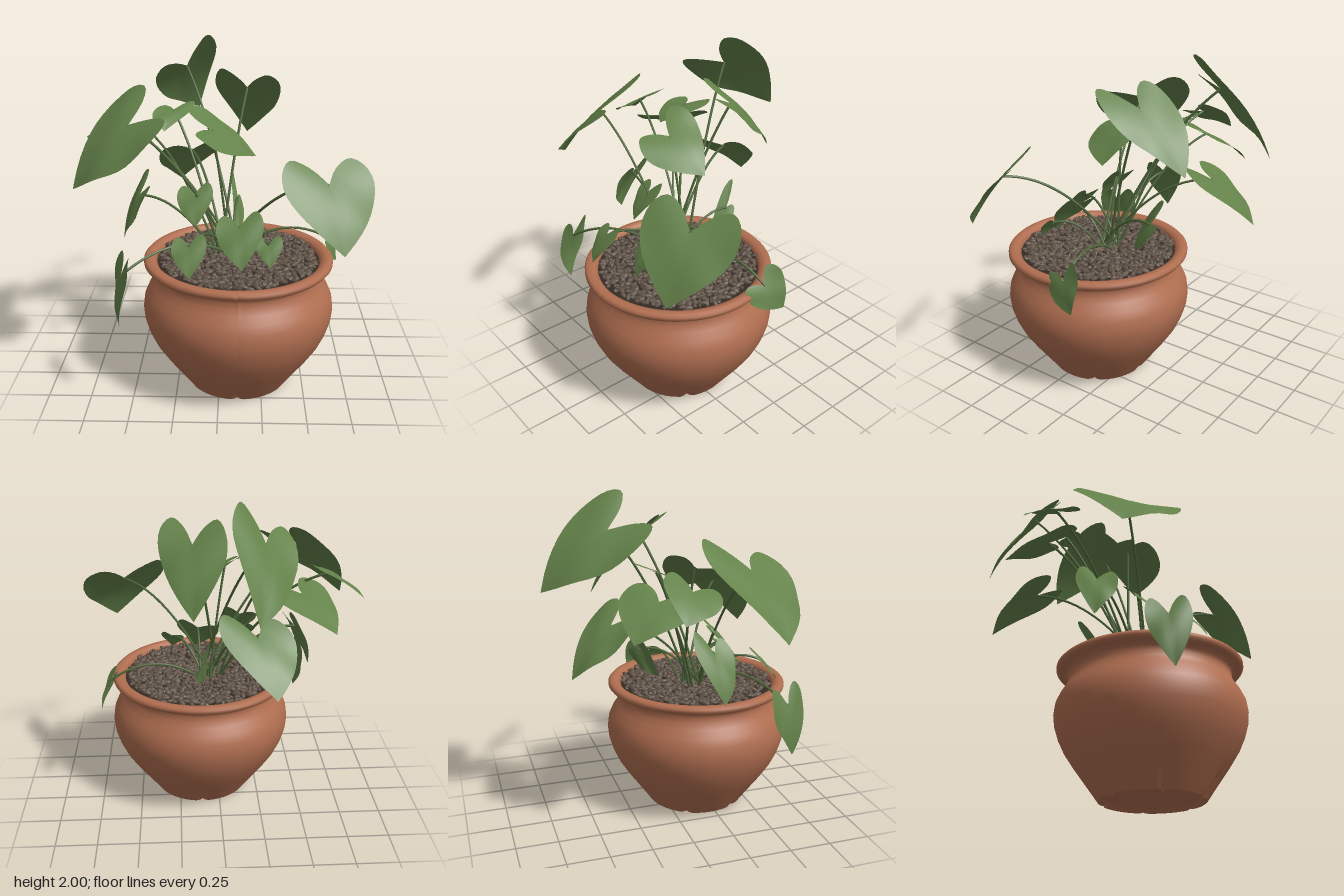
import * as THREE from 'three';
import { mergeGeometries } from 'three/addons/utils/BufferGeometryUtils.js';

const mat = (name, color, side = THREE.FrontSide) => {
  const m = new THREE.MeshStandardMaterial({ color, side });
  m.name = name;
  return m;
};
const V = (p) => new THREE.Vector3(...p);

// Small seeded random
function seeded(seed) {
  return () => {
    seed = (seed * 16807) % 2147483647;
    return seed / 2147483647;
  };
}

// Half outline of a heart-shaped blade: lobes end at v = 0, tip at v = 1
const NOTCH = 0.27;
const outline = new THREE.SplineCurve([
  [0, NOTCH], [0.35, 0.08], [0.8, -0.02], [1.12, 0.1], [1.2, 0.32], [0.98, 0.56], [0.5, 0.81], [0, 1],
].map(([u, v]) => new THREE.Vector2(u, v)));

// Blade stretched between its tip and the ends of its two lobes
function bladeSurface(tip, lobeA, lobeB) {
  const mid = lobeA.clone().add(lobeB).multiplyScalar(0.5);
  const half = lobeA.clone().sub(mid);
  const axis = tip.clone().sub(mid);
  const len = axis.length();
  const normal = half.clone().cross(axis).normalize();
  if (normal.y < 0) normal.negate();
  return (u, v) => {
    const lift = 0.08 * Math.sin(Math.PI * v) - 0.05 * u * u * v
      + 0.025 * Math.abs(u) + 0.02 * u * Math.sin(7 * v + 2 * u);
    return mid.clone().addScaledVector(half, u).addScaledVector(axis, v)
      .addScaledVector(normal, lift * len);
  };
}

function bladeGeometry(at) {
  const rows = 20, cols = 5, pos = [], index = [], w = cols * 2 + 1;
  for (let i = 0; i <= rows; i++) {
    const a = i / rows, edge = outline.getPoint(a);
    const rib = NOTCH + (1 - NOTCH) * Math.pow(a, 1.3);
    for (let j = -cols; j <= cols; j++) {
      const k = Math.abs(j) / cols;
      const p = at((j / cols) * edge.x, rib + (edge.y - rib) * k);
      pos.push(p.x, p.y, p.z);
      if (i < rows && j < cols) {
        const n = i * w + j + cols;
        index.push(n, n + 1, n + w, n + 1, n + w + 1, n + w);
      }
    }
  }
  const g = new THREE.BufferGeometry();
  g.setAttribute('position', new THREE.Float32BufferAttribute(pos, 3));
  g.setIndex(index);
  g.computeVertexNormals();
  return g;
}

// Grown leaves: tip, end of one lobe, end of the other lobe
const GROWN = [
  [[-0.16, 1.47, -0.77], [-0.06, 1.99, -0.31], [-0.35, 1.79, -0.18]],
  [[0.16, 1.38, -0.43], [-0.02, 1.82, -0.06], [0.29, 1.8, 0.1]],
  [[0.21, 1.36, 0.1], [-0.12, 1.5, 0.32], [-0.2, 1.62, 0.0]],
  [[-0.8, 1.25, 0.4], [-0.44, 1.75, 0.02], [-0.26, 1.61, 0.49]],
  [[-0.63, 1.27, -0.38], [-0.25, 1.5, -0.25], [-0.5, 1.46, 0.02]],
  [[-0.82, 1.4, -0.17], [-0.48, 1.6, -0.14], [-0.6, 1.5, 0.08]],
  [[-0.28, 1.0, -0.64], [0.02, 1.36, -0.31], [-0.32, 1.3, -0.25]],
  [[0.66, 1.0, 0.73], [0.34, 1.43, 0.5], [0.75, 1.4, 0.32]],
  [[-0.55, 0.5, 0.58], [-0.46, 0.92, 0.62], [-0.53, 0.9, 0.43]],
  [[-0.57, 0.86, 0.15], [-0.42, 1.25, 0.0], [-0.39, 1.18, 0.2]],
  [[0.72, 0.67, -0.06], [0.62, 0.82, 0.16], [0.62, 0.94, -0.02]],
  [[0.08, 0.84, -0.03], [0.06, 1.18, -0.24], [0.12, 0.98, -0.21]],
  [[-0.33, 1.48, 0.0], [-0.17, 1.6, -0.27], [-0.37, 1.58, -0.2]],
].map((leaf) => leaf.map(V));

// Young leaves hang towards the front: tip x, y, z and width between the lobes
const YOUNG = [
  [0.13, 0.83, 0.54, 0.22], [-0.13, 1.02, 0.36, 0.17], [-0.15, 0.83, 0.65, 0.16], [0.29, 0.84, 0.52, 0.12],
].map(([x, y, z, w]) => [
  V([x, y, z]),
  V([x + w * 0.45, y + w * 1.2, z - w]),
  V([x - w * 0.55, y + w, z - w * 1.1]),
]);

function createPot(material) {
  const profile = [
    [0, 0.02], [0.255, 0.02], [0.27, 0.015], [0.28, 0], [0.3, 0], [0.306, 0.004], [0.345, 0.06],
    [0.395, 0.13], [0.445, 0.2], [0.5, 0.285], [0.535, 0.36], [0.556, 0.43], [0.562, 0.49],
    [0.554, 0.55], [0.532, 0.6], [0.503, 0.645], [0.485, 0.68], [0.48, 0.71], [0.486, 0.735],
    [0.51, 0.75], [0.54, 0.757], [0.552, 0.772], [0.552, 0.788], [0.54, 0.8], [0.515, 0.803],
    [0.49, 0.795], [0.475, 0.775], [0.47, 0.72],
  ].map(([r, y]) => new THREE.Vector2(r, y));
  const g = new THREE.LatheGeometry(profile, 96);
  // Shallow wedge-shaped drainage grooves around the foot
  const p = g.attributes.position;
  for (let i = 0; i < p.count; i++) {
    const x = p.getX(i), y = p.getY(i), z = p.getZ(i);
    if (Math.hypot(x, z) < 0.295 || y > 0.135) continue;
    const step = Math.PI / 3, a = Math.atan2(x, z);
    const off = Math.abs(a - Math.round(a / step) * step);
    const k = 1 - 0.09 * Math.max(0, 1 - off / 0.09) * (1 - y / 0.14);
    p.setXYZ(i, x * k, y, z * k);
  }
  g.computeVertexNormals();
  const pot = new THREE.Mesh(g, material);
  pot.name = 'pot';
  return pot;
}

// Elongated pebbles scattered in a sunflower spiral
function pebbleGeometries(count, groups) {
  const rnd = seeded(77);
  const lists = Array.from({ length: groups }, () => []);
  for (let i = 0; i < count; i++) {
    const r = 0.455 * Math.sqrt((i + 0.5) / count), a = i * 2.39996;
    const g = new THREE.SphereGeometry(1, 7, 5);
    g.scale(0.022 + rnd() * 0.012, 0.011 + rnd() * 0.004, 0.012 + rnd() * 0.005);
    g.rotateZ((rnd() - 0.5) * 0.8);
    g.rotateY(rnd() * Math.PI * 2);
    g.translate(r * Math.cos(a) + (rnd() - 0.5) * 0.02, 0.776 + rnd() * 0.016,
      r * Math.sin(a) + (rnd() - 0.5) * 0.02);
    lists[i % groups].push(g);
  }
  return lists.map((l) => mergeGeometries(l));
}

export function createModel() {
  const terracotta = mat('terracotta', 0xb06e50, THREE.DoubleSide);
  const leafGreen = mat('leaf green', 0x64824a, THREE.DoubleSide);
  const stemGreen = mat('stem green', 0x50693c);
  const soilBrown = mat('soil brown', 0x352b24);
  const stones = [mat('pebble brown', 0x65564a), mat('pebble dark brown', 0x574a3f)];

  const model = new THREE.Group();
  model.name = 'pottedPlant';

  // Pot with its filling
  const planter = new THREE.Group();
  planter.name = 'planter';
  planter.position.set(0.11, 0, 0.22);
  planter.add(createPot(terracotta));
  const soil = new THREE.Mesh(new THREE.CircleGeometry(0.475, 64).rotateX(-Math.PI / 2), soilBrown);
  soil.name = 'soil';
  soil.position.y = 0.77;
  planter.add(soil);
  pebbleGeometries(840, 2).forEach((g, i) => {
    const m = new THREE.Mesh(g, stones[i]);
    m.name = 'pebbles';
    planter.add(m);
  });
  model.add(planter);

  // Leaves, each on a stalk rising from the middle of the pot
  [...GROWN, ...YOUNG].forEach(([tip, lobeA, lobeB], i) => {
    const at = bladeSurface(tip, lobeA, lobeB);
    const leaf = new THREE.Group();
    leaf.name = 'leaf';
    const blade = new THREE.Mesh(bladeGeometry(at), leafGreen);
    blade.name = 'leafBlade';

    const end = at(0, NOTCH + 0.01);
    const root = V([0.05 + 0.06 * Math.cos(i * 2.4), 0.76, 0.17 + 0.06 * Math.sin(i * 2.4)]);
    const reach = Math.hypot(end.x - root.x, end.z - root.z);
    const bend = root.clone().lerp(end, 0.5);
    bend.y += 0.08 + 0.25 * reach;
    const path = new THREE.QuadraticBezierCurve3(root, bend, end);
    const stalk = new THREE.Mesh(new THREE.TubeGeometry(path, 20, 0.0075, 6), stemGreen);
    stalk.name = 'leafStalk';
    leaf.add(blade, stalk);
    model.add(leaf);
  });

  return model;
}
